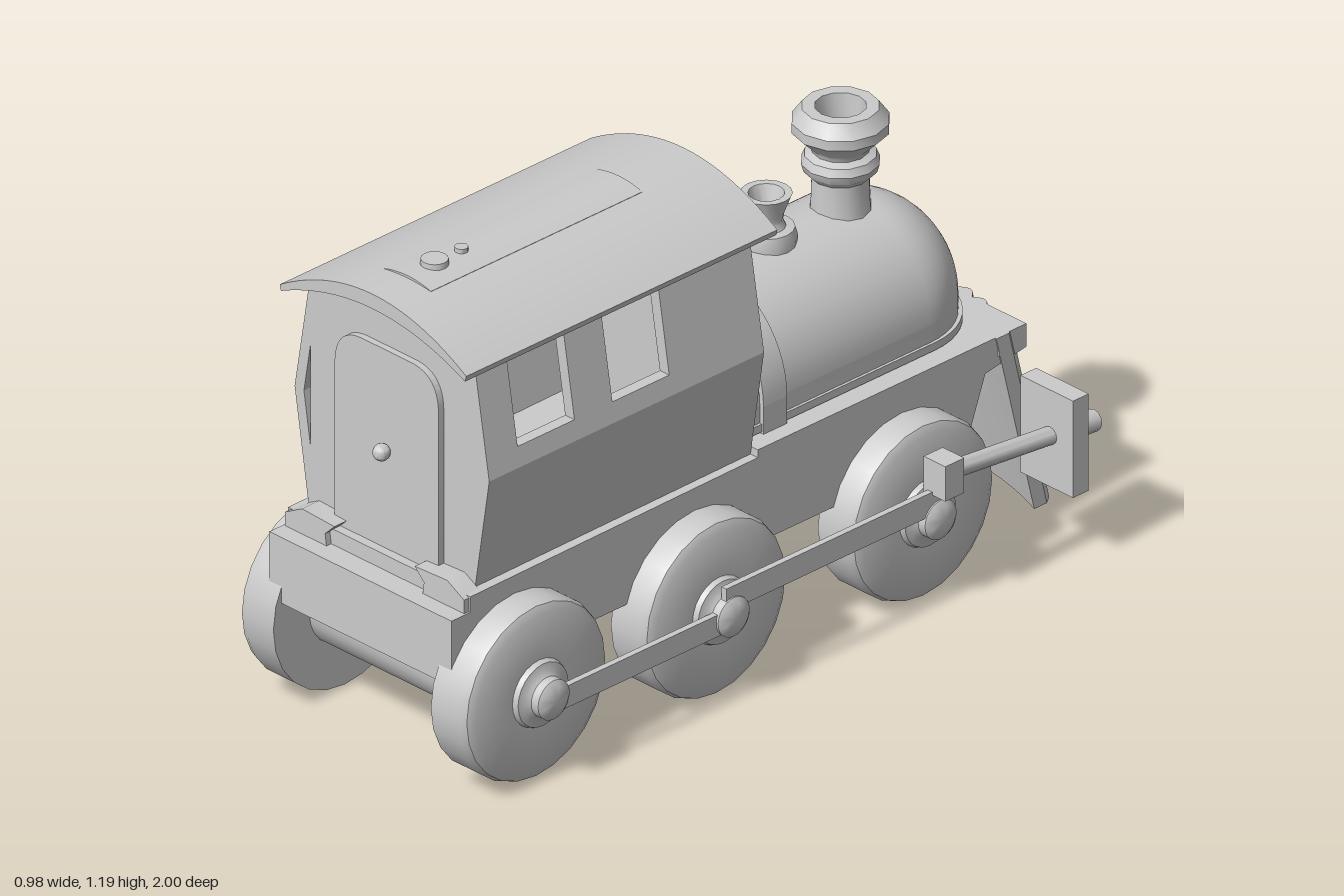
import * as THREE from 'three';
import { toCreasedNormals } from 'three/addons/utils/BufferGeometryUtils.js';

const material = new THREE.MeshStandardMaterial({ color: 0xcccccc, side: THREE.DoubleSide });
const V2 = (p) => new THREE.Vector2(p[0], p[1]);

export function createModel() {
  const model = new THREE.Group();
  model.name = 'steamLocomotive';
  const body = new THREE.Group();
  body.name = 'body';
  body.position.x = -0.01;
  model.add(body);

  const add = (name, geo, x = 0, y = 0, z = 0) => {
    const mesh = new THREE.Mesh(toCreasedNormals(geo, 0.6), material);
    mesh.name = name;
    mesh.position.set(x, y, z);
    body.add(mesh);
    return mesh;
  };
  const box = (name, w, h, d, x, y, z) => add(name, new THREE.BoxGeometry(w, h, d), x, y, z);
  const lathe = (pts, seg = 24) => new THREE.LatheGeometry(pts.map(V2), seg);
  const poly = (pts) => new THREE.Shape(pts.map(V2));
  const extrude = (shape, depth) => new THREE.ExtrudeGeometry(shape, { depth, bevelEnabled: false, curveSegments: 20 });
  // shape drawn in (z, y), extruded across x and centred
  const sideSolid = (shape, width) => extrude(shape, width).rotateY(-Math.PI / 2).translate(width / 2, 0, 0);
  // shape drawn in (x, -z), extruded upwards
  const planSolid = (shape, height) => extrude(shape, height).rotateX(-Math.PI / 2);
  const bend = (geo, rule) => {
    const p = geo.attributes.position;
    const v = new THREE.Vector3();
    for (let i = 0; i < p.count; i++) {
      rule(v.fromBufferAttribute(p, i));
      p.setXYZ(i, v.x, v.y, v.z);
    }
    geo.computeVertexNormals();
    return geo;
  };
  const rod = (name, a, b, r) => {
    const from = new THREE.Vector3(...a), to = new THREE.Vector3(...b);
    const dir = to.clone().sub(from);
    const mesh = add(name, new THREE.CylinderGeometry(r, r, dir.length(), 12));
    mesh.position.copy(from).addScaledVector(dir, 0.5);
    mesh.quaternion.setFromUnitVectors(new THREE.Vector3(0, 1, 0), dir.normalize());
  };

  // Chassis with raised deck and stepped nose
  add('chassis', sideSolid(poly([
    [0.97, 0.3], [0.97, 0.47], [0.91, 0.47], [0.91, 0.51], [0, 0.52], [0, 0.54],
    [-0.85, 0.54], [-0.85, 0.48], [-0.72, 0.46], [-0.66, 0.3],
  ]), 0.59));

  // Wheels, axles and hubs
  const axles = [[0.77, 0.24], [0.2, 0.235], [-0.455, 0.235]];
  const wheelGeo = lathe([
    [0, 0.255], [0.226, 0.255], [0.226, 0.345], [0.219, 0.364], [0.2, 0.375],
    [0.085, 0.375], [0.08, 0.388], [0.06, 0.392], [0.05, 0.4], [0.05, 0.422], [0.036, 0.432], [0, 0.434],
  ]);
  for (const [z, y] of axles) {
    add('axle', new THREE.CylinderGeometry(0.112, 0.112, 0.53, 24).rotateZ(Math.PI / 2), 0, y, z);
    for (const s of [-1, 1]) add('wheel', wheelGeo, 0, y, z).rotation.z = -s * Math.PI / 2;
  }
  box('underBar', 0.06, 0.04, 1.2, 0, 0.22, 0.16);

  // Coupling rods, pistons and cylinder plates
  for (const s of [-1, 1]) {
    box('rearCouplingRod', 0.016, 0.056, 0.57, s * 0.408, 0.227, 0.485);
    box('frontCouplingRod', 0.016, 0.06, 0.68, s * 0.41, 0.283, -0.12);
    box('crosshead', 0.07, 0.09, 0.06, s * 0.425, 0.35, -0.462);
    rod('pistonRod', [s * 0.435, 0.362, -0.46], [s * 0.425, 0.32, -0.82], 0.022);
    rod('pistonEnd', [s * 0.425, 0.32, -0.8], [s * 0.42, 0.305, -0.94], 0.027);
    box('cylinderPlate', 0.17, 0.25, 0.05, s * 0.405 + 0.01, 0.315, -0.822);
  }

  // Boiler: half-round barrel with domed nose over a straight skirt
  const R = 0.24, noseStart = 0.6, noseLength = 0.222;
  const barrel = [[R, 0]];
  const outline = [];
  for (let i = 0; i <= 12; i++) {
    const a = i / 12 * Math.PI / 2;
    barrel.push([R * Math.cos(a), noseStart + noseLength * Math.sin(a)]);
  }
  for (let i = 0; i <= 24; i++) {
    const a = i / 24 * Math.PI;
    outline.push([R * Math.cos(a), noseStart + noseLength * Math.sin(a)]);
  }
  const halfLathe = (pts) => new THREE.LatheGeometry(pts.map(V2), 28, -Math.PI / 2, Math.PI).rotateX(-Math.PI / 2);
  add('boiler', halfLathe(barrel), 0, 0.61, 0);
  const skirt = poly([[-R, 0], [R, 0], ...outline]);
  add('boilerSkirt', planSolid(skirt, 0.08), 0, 0.53, 0);
  add('boilerBead', planSolid(skirt, 0.02).scale(1.03, 1, 1.012), 0, 0.545, 0);
  add('boilerBand', halfLathe([[0.235, 0.06], [0.252, 0.06], [0.252, 0.135], [0.235, 0.135]]), 0, 0.61, 0);
  for (const s of [-1, 1]) box('boilerBandSide', 0.02, 0.08, 0.075, s * 0.242, 0.57, -0.0975);

  // Chimney and steam dome
  add('chimney', lathe([
    [0.075, 0.8], [0.07, 0.86], [0.068, 0.925], [0.086, 0.942], [0.092, 0.962], [0.084, 0.982],
    [0.066, 0.99], [0.07, 1.002], [0.114, 1.045], [0.114, 1.07], [0.09, 1.103], [0.06, 1.103], [0.055, 1.03], [0, 1.03],
  ], 12), 0, 0, -0.55);
  add('steamDome', lathe([
    [0.068, 0.82], [0.072, 0.86], [0.066, 0.882], [0.045, 0.884], [0.038, 0.9], [0.04, 0.915],
    [0.06, 0.968], [0.042, 0.968], [0.025, 0.91], [0, 0.91],
  ], 16), 0, 0, -0.315);

  // Cab side walls, leaning out to a waist, with two windows each
  const low = 0.5, waist = 0.8, eave = 1.1;
  const halfWidth = (y) => y < waist
    ? 0.268 + 0.047 * (y - low) / (waist - low)
    : 0.315 - 0.05 * (y - waist) / (eave - waist);
  const wall = (y0, y1, windows) => {
    const shape = poly([[0, y0], [0.87, y0], [0.87, y1], [0, y1]]);
    for (const z of windows) {
      shape.holes.push(new THREE.Path([[z, 0.85], [z, 1.06], [z + 0.18, 1.06], [z + 0.18, 0.85]].map(V2)));
    }
    return sideSolid(shape, 0.03);
  };
  for (const s of [-1, 1]) {
    for (const geo of [wall(low, waist, []), wall(waist, eave, [0.292, 0.592])]) {
      add('cabSideWall', bend(geo, (v) => { v.x += s * (halfWidth(v.y) - 0.015); }));
    }
  }

  // Cab end walls, the forward one with a wide arched window
  const endShape = () => {
    const shape = new THREE.Shape();
    shape.moveTo(-0.264, low);
    shape.lineTo(0.264, low);
    shape.lineTo(0.311, waist);
    shape.lineTo(0.264, 1.08);
    shape.quadraticCurveTo(0, 1.23, -0.264, 1.08);
    return shape;
  };
  add('cabRearWall', extrude(endShape(), 0.03), 0, 0, 0.84);
  const forward = endShape();
  const arch = new THREE.Path();
  arch.moveTo(-0.21, 0.91);
  arch.lineTo(-0.21, 1.03);
  arch.quadraticCurveTo(0, 1.14, 0.21, 1.03);
  arch.lineTo(0.21, 0.91);
  arch.closePath();
  forward.holes.push(arch);
  add('cabForwardWall', extrude(forward, 0.03), 0, 0, 0);

  // Arched roof with raised panel and vents
  const roof = new THREE.Shape();
  roof.moveTo(-0.298, 1.075);
  roof.lineTo(-0.302, 1.09);
  roof.quadraticCurveTo(0, 1.276, 0.302, 1.09);
  roof.lineTo(0.298, 1.075);
  roof.quadraticCurveTo(0, 1.215, -0.298, 1.075);
  add('roof', extrude(roof, 0.985), 0, 0, -0.055);
  const panel = new THREE.Shape();
  panel.moveTo(-0.075, 1.165);
  panel.lineTo(-0.075, 1.178);
  panel.quadraticCurveTo(0, 1.2, 0.075, 1.178);
  panel.lineTo(0.075, 1.165);
  add('roofPanel', extrude(panel, 0.67), 0, 0, 0.15);
  add('roofVent', new THREE.CylinderGeometry(0.032, 0.034, 0.03, 16), 0, 1.187, 0.735);
  add('smallRoofVent', new THREE.CylinderGeometry(0.016, 0.016, 0.03, 12), 0, 1.185, 0.65);

  // Rear door with knob and corner brackets
  const door = new THREE.Shape();
  door.moveTo(-0.168, 0.5);
  door.lineTo(0.168, 0.5);
  door.lineTo(0.168, 0.93);
  door.quadraticCurveTo(0.165, 1.02, 0.08, 1.022);
  door.lineTo(-0.08, 1.022);
  door.quadraticCurveTo(-0.165, 1.02, -0.168, 0.93);
  add('door', extrude(door, 0.022), 0, 0, 0.865);
  add('doorKnob', new THREE.SphereGeometry(0.021, 14, 10), 0, 0.765, 0.903);
  for (const s of [-1, 1]) {
    const pts = [[0.29, 0.465], [0.29, 0.505], [0.235, 0.535], [0.13, 0.53], [0.16, 0.5], [0.155, 0.465]];
    add('cornerBracket', extrude(poly(pts.map(([x, y]) => [s * x, y])), 0.055), 0, 0, 0.87);
  }

  // Slanted, bowed cowcatcher with rounded ribs
  const ribs = 10, steps = ribs * 6, plan = [];
  const bow = (x) => 1 - (x / 0.3) ** 2;
  for (let i = 0; i <= steps; i++) {
    const x = 0.3 - 0.6 * i / steps;
    plan.push([x, 0.91 + 0.07 * bow(x) + 0.02 * Math.abs(Math.sin(Math.PI * ribs * i / steps))]);
  }
  for (let i = 0; i <= 12; i++) {
    const x = -0.3 + 0.6 * i / 12;
    plan.push([x, 0.87 + 0.06 * bow(x)]);
  }
  const catcher = planSolid(poly(plan), 0.485);
  add('cowcatcher', bend(catcher, (v) => { v.z += 0.12 * v.y / 0.485; }), 0, 0.055, 0);
  add('cowcatcherTop', planSolid(poly([[-0.3, 0.76], [0.3, 0.76], [0.3, 0.79], [0.2, 0.835], [0, 0.86], [-0.2, 0.835], [-0.3, 0.79]]), 0.05), 0, 0.49, 0);

  return model;
}
